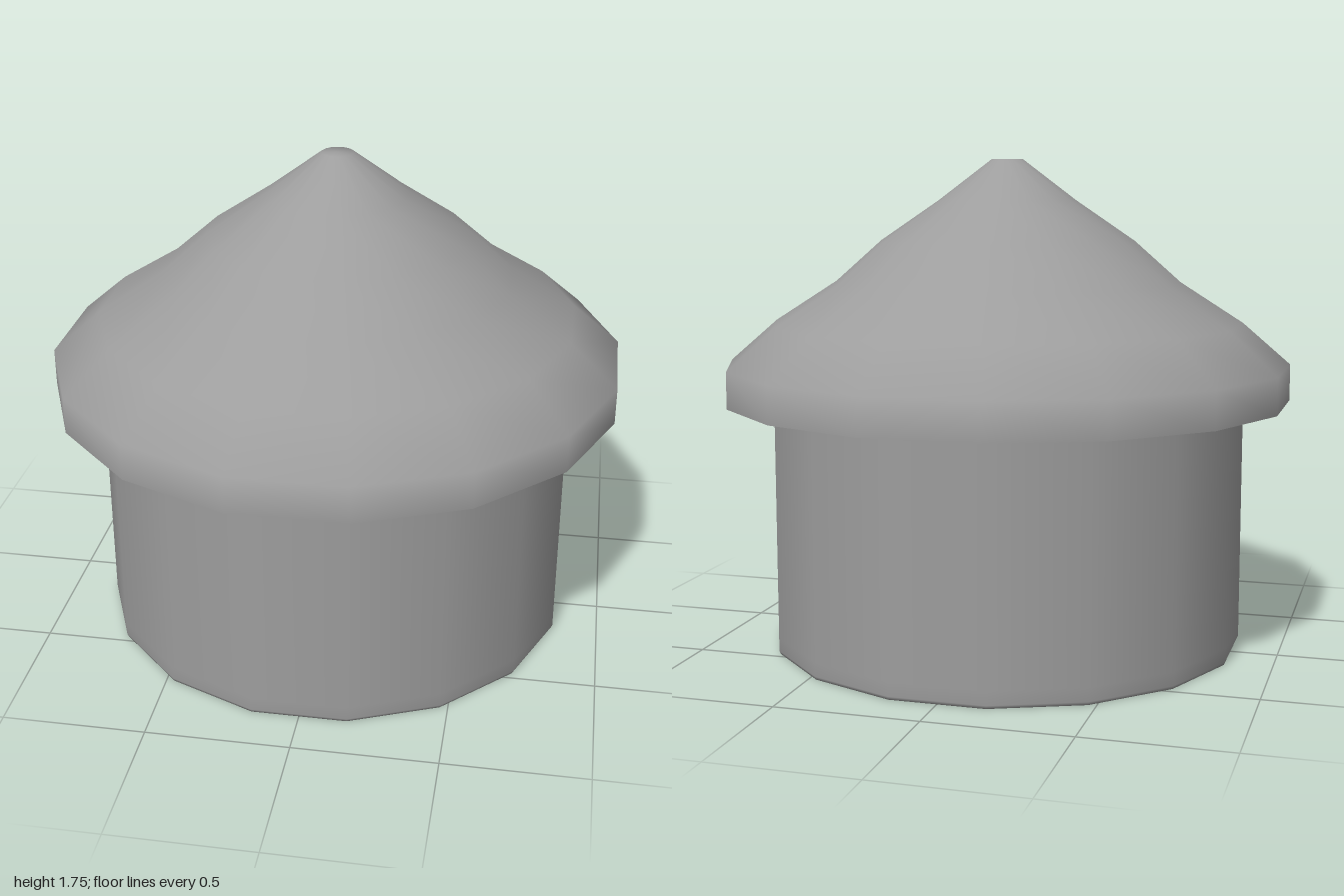
import * as THREE from 'three';

const SIDES = 16;
const HALF_STEP = Math.PI / SIDES;
const WALL = 0.838; // distance from the axis to a wall flat
const BASE = 0.06; // height where the base ring meets the wall
const TOP = 1.12; // wall top, hidden under the roof
const RECESS = 0.018; // depth of the doorway

const material = new THREE.MeshStandardMaterial({ color: 0x9d9d9d, side: THREE.DoubleSide });

function part(name, geometry) {
  const mesh = new THREE.Mesh(geometry, material);
  mesh.name = name;
  return mesh;
}

// Turned shell; profile is [distance to the flat, height], bottom to top.
function turned(profile, sides = SIDES, start = HALF_STEP) {
  const points = profile.map(([r, y]) => new THREE.Vector2(r / Math.cos(HALF_STEP), y));
  return new THREE.LatheGeometry(points, sides, start, sides * 2 * HALF_STEP);
}

// Symmetric four-cornered outline from half widths and heights
function trapezoid(low, y0, high, y1) {
  return [[-low, y0], [low, y0], [high, y1], [-high, y1]].map(([x, y]) => new THREE.Vector2(x, y));
}

// Wall flat pierced by the doorway, its outer face shaded as part of the round wall
function doorwayGeometry(opening) {
  const half = WALL * Math.tan(HALF_STEP);
  const shape = new THREE.Shape(trapezoid(half, BASE, half, TOP));
  shape.holes.push(new THREE.Path(opening));
  const geometry = new THREE.ExtrudeGeometry(shape, { depth: RECESS, bevelEnabled: false });
  geometry.rotateY(Math.PI / 2).translate(WALL - RECESS, 0, 0);
  const { position, normal } = geometry.attributes;
  const n = new THREE.Vector3();
  for (let i = 0; i < position.count; i++) {
    if (normal.getX(i) < 0.9) continue;
    n.set(position.getX(i), 0, position.getZ(i)).normalize();
    normal.setXYZ(i, n.x, n.y, n.z);
  }
  return geometry;
}

export function createModel() {
  const group = new THREE.Group();
  group.name = 'roundHut';

  // Floor with a small rounded edge
  group.add(part('base', turned([[0, 0], [0.833, 0], [WALL, 0.012], [WALL, BASE]])));

  // Wall on every side but the doorway flat on the left
  group.add(part('wall', turned([[WALL, BASE], [WALL, TOP]], SIDES - 1, Math.PI / 2 + HALF_STEP)));

  // Doorway and the sunken, slightly tapered door
  const opening = trapezoid(0.123, 0.066, 0.136, 1.0);
  group.add(part('doorway', doorwayGeometry(opening)));
  const door = new THREE.ShapeGeometry(new THREE.Shape(opening));
  door.rotateY(Math.PI / 2).translate(WALL - RECESS, 0, 0);
  group.add(part('door', door));

  // Stepped thatch roof, open underneath
  group.add(part('roof', turned([
    [1, 0.89], [1, 1.02], [0.833, 1.168], [0.612, 1.313],
    [0.45, 1.46], [0.242, 1.605], [0.055, 1.75], [0, 1.75],
  ])));

  return group;
}
